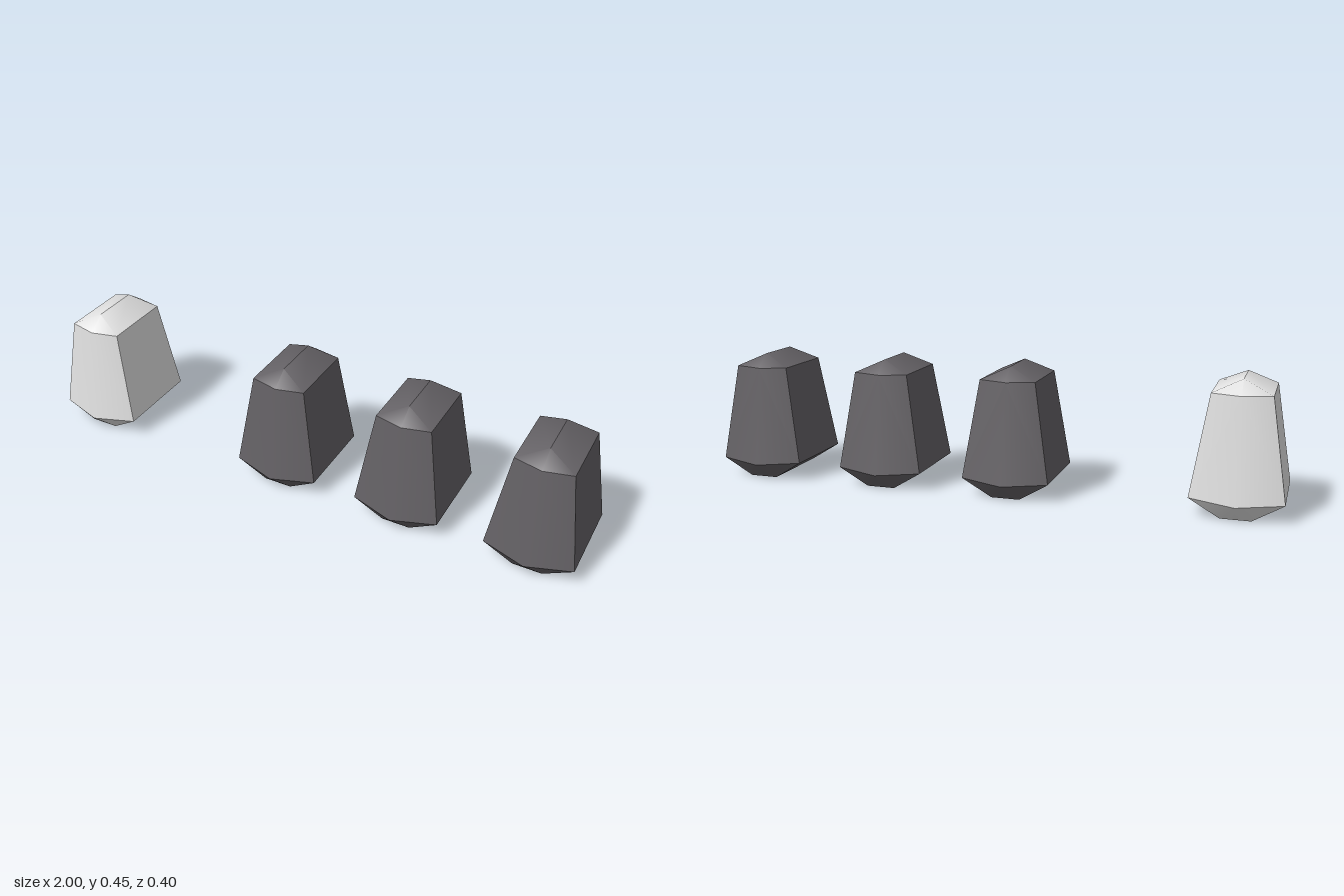
import * as THREE from 'three';
import { toCreasedNormals } from 'three/addons/utils/BufferGeometryUtils.js';

// Six-sided ring: half width, corner height and depth, end-point height and depth
function ring(w, yc, zc, ym, zm) {
  return [[w, yc, zc], [w, yc, -zc], [0, ym, -zm], [-w, yc, -zc], [-w, yc, zc], [0, ym, zm]]
    .map((p) => new THREE.Vector3(...p));
}

function stoneGeometry() {
  const rings = [
    ring(0.05, 0, 0.145, 0, 0.145),          // flat base
    ring(0.152, 0.063, 0.156, 0.055, 0.2),   // widest belt
    ring(0.097, 0.403, 0.125, 0.401, 0.146), // shoulder
    ring(0, 0.447, 0.085, 0.447, 0.085),     // roof ridge
  ];
  const points = [];
  const tri = (...t) => {
    const [a, b, c] = t;
    if (!a.equals(b) && !b.equals(c) && !c.equals(a)) points.push(...t);
  };
  for (let r = 0; r < 3; r++) {
    for (let i = 0; i < 6; i++) {
      const j = (i + 1) % 6;
      const a = rings[r][i], b = rings[r][j], B = rings[r + 1][j], A = rings[r + 1][i];
      // Mirror the diagonals on either side of the end points
      if (i % 3 === 2) { tri(a, b, A); tri(b, B, A); }
      else { tri(a, b, B); tri(a, B, A); }
    }
  }
  // Underside
  const centre = new THREE.Vector3();
  rings[0].forEach((p, i) => tri(centre, rings[0][(i + 1) % 6], p));

  return toCreasedNormals(new THREE.BufferGeometry().setFromPoints(points), 0.7);
}

export function createModel() {
  const group = new THREE.Group();
  group.name = 'stoneRow';
  const light = new THREE.MeshStandardMaterial({ color: 0xe0e0e0 });
  light.name = 'paleGrey';
  const dark = new THREE.MeshStandardMaterial({ color: 0x646165 });
  dark.name = 'darkGrey';

  const geometry = stoneGeometry();
  [-0.848, -0.079, 0.382, 0.848].forEach((x, i) => {
    const stone = new THREE.Mesh(geometry, i === 0 ? light : dark);
    stone.name = i === 0 ? 'paleStone' : `darkStone${i}`;
    stone.position.x = x;
    group.add(stone);
  });
  return group;
}
